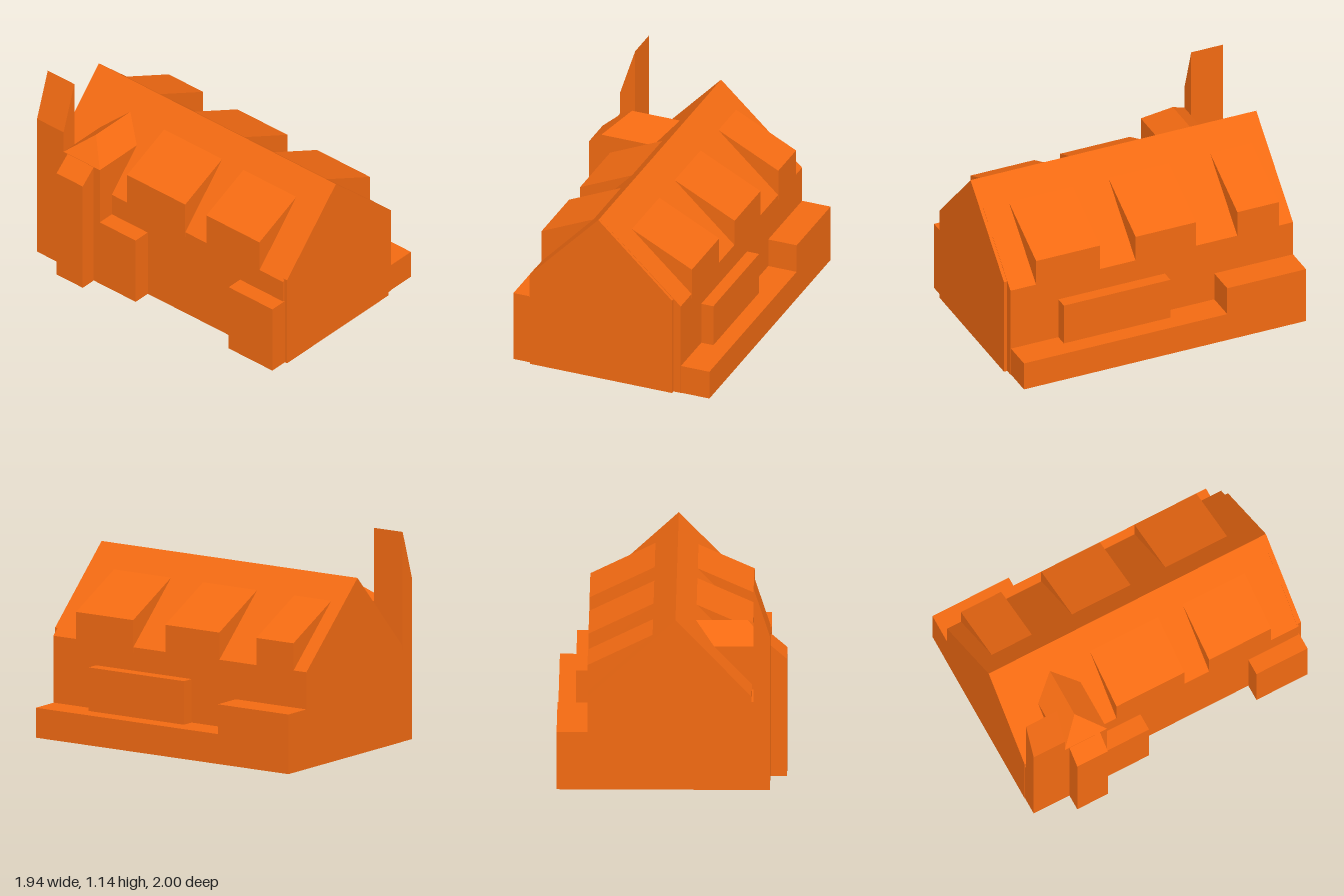
import * as THREE from 'three';
import { ConvexGeometry } from 'three/addons/geometries/ConvexGeometry.js';

// Local frame: x runs across the house, z along the roof ridge.
export function createModel() {
  const model = new THREE.Group();
  const house = new THREE.Group();
  house.name = 'house';
  house.rotation.y = 0.705;
  model.add(house);
  const material = new THREE.MeshStandardMaterial({ color: 0xf26a12, flatShading: true });

  function add(name, geometry) {
    const mesh = new THREE.Mesh(geometry, material);
    mesh.name = name;
    house.add(mesh);
  }
  function box(name, x0, x1, y0, y1, z0, z1) {
    const g = new THREE.BoxGeometry(x1 - x0, y1 - y0, z1 - z0);
    g.translate((x0 + x1) / 2, (y0 + y1) / 2, (z0 + z1) / 2);
    add(name, g);
  }
  // Cross-section in x, y pushed along the ridge direction
  function prism(name, profile, z0, z1) {
    const shape = new THREE.Shape(profile.map(([x, y]) => new THREE.Vector2(x, y)));
    const g = new THREE.ExtrudeGeometry(shape, { depth: z1 - z0, bevelEnabled: false });
    g.translate(0, 0, z0);
    add(name, g);
  }
  function hull(name, points) {
    add(name, new ConvexGeometry(points.map((p) => new THREE.Vector3(...p))));
  }

  // Main body with gabled roof, and a slightly narrower gable end
  prism('mainBody', [[-0.473, 0], [0.402, 0], [0.402, 0.527], [-0.067, 0.962], [-0.473, 0.53]], -0.832, 0.826);
  prism('gableEnd', [[-0.463, 0], [0.36, 0], [0.36, 0.562], [-0.067, 0.962], [-0.463, 0.545]], 0.82, 0.845);

  // Shed dormers on both slopes
  for (const [z0, z1] of [[-0.277, 0.134], [0.284, 0.659]]) {
    prism('leftDormer', [[-0.474, 0.5], [-0.1, 0.5], [-0.1, 0.85], [-0.17, 0.85], [-0.474, 0.712]], z0, z1);
  }
  for (const [z0, z1] of [[0.302, 0.676], [-0.262, 0.092], [-0.748, -0.505]]) {
    prism('rightDormer', [[0.403, 0.5], [0, 0.5], [0, 0.85], [0.052, 0.85], [0.403, 0.675]], z0, z1);
  }

  // Chimney with sloping cap, flush with the end gable
  prism('chimney', [[-0.571, 0], [-0.44, 0], [-0.44, 0.5], [-0.484, 0.5], [-0.484, 1.142], [-0.571, 0.872]], -0.83, -0.642);

  // Hipped cross wing and its projecting bay
  const wing = [[-0.45, 0.85, -0.518], [-0.12, 0.85, -0.518]];
  const bay = [];
  for (const z of [-0.642, -0.386]) {
    for (const x of [-0.571, -0.12]) wing.push([x, 0, z], [x, 0.745, z]);
  }
  for (const z of [-0.614, -0.429]) {
    bay.push([-0.66, 0, z], [-0.66, 0.665, z], [-0.56, 0, z], [-0.56, 0.753, z]);
  }
  hull('crossWing', wing);
  hull('bay', bay);

  // Flat-roofed annexes on the left side
  box('leftAnnex', -0.571, -0.45, 0, 0.402, -0.39, -0.132);
  box('porch', -0.565, -0.45, 0, 0.402, 0.521, 0.83);

  // Low terrace, end annex and balcony box on the right side
  box('terrace', 0.39, 0.567, 0, 0.163, -0.832, 0.823);
  box('endAnnex', 0.39, 0.567, 0, 0.325, -0.832, -0.37);
  box('sideProjection', 0.39, 0.472, 0.15, 0.4, -0.08, 0.545);

  return model;
}
